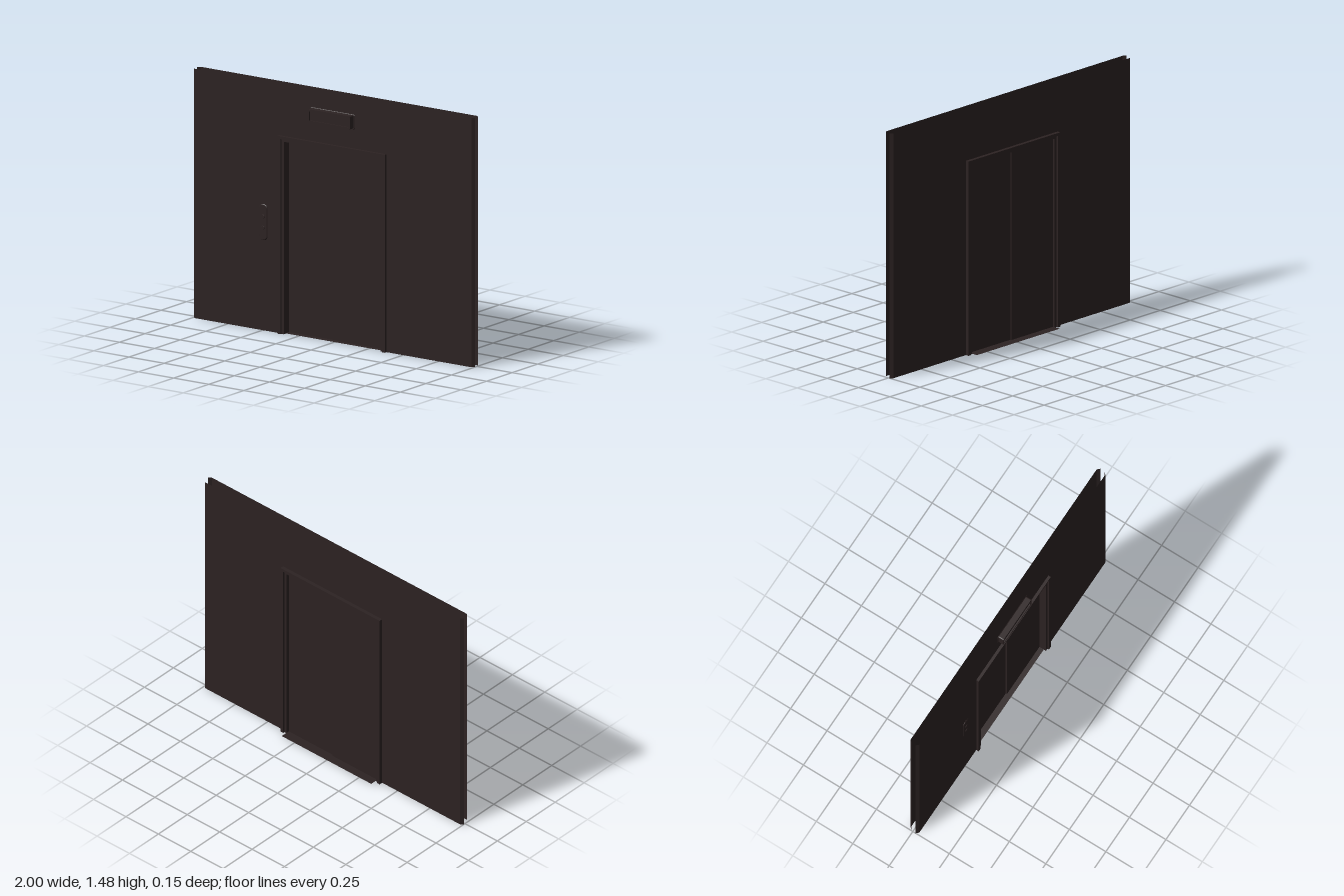
import * as THREE from 'three';

export function createModel() {
  const model = new THREE.Group();
  model.name = 'elevatorDoorway';
  const darkBronze = new THREE.MeshStandardMaterial({ color: 0x2c2222, side: THREE.DoubleSide });
  darkBronze.name = 'darkBronze';

  const add = (name, geometry, x = 0, y = 0, z = 0, parent = model) => {
    const mesh = new THREE.Mesh(geometry, darkBronze);
    mesh.name = name;
    mesh.position.set(x, y, z);
    parent.add(mesh);
    return mesh;
  };
  const polygon = (points) => new THREE.Shape(points.map(([x, y]) => new THREE.Vector2(x, y)));
  // Doorway outline: two legs and a top, open at the floor
  const arch = (w, h, innerW, innerH) => polygon([
    [-w, 0], [-innerW, 0], [-innerW, innerH], [innerW, innerH],
    [innerW, 0], [w, 0], [w, h], [-w, h],
  ]);
  const roundedRect = (w, h, r) => {
    const s = new THREE.Shape();
    const x = w / 2 - r, y = h / 2 - r;
    s.absarc(x, y, r, 0, Math.PI / 2);
    s.absarc(-x, y, r, Math.PI / 2, Math.PI);
    s.absarc(-x, -y, r, Math.PI, Math.PI * 1.5);
    s.absarc(x, -y, r, Math.PI * 1.5, Math.PI * 2);
    return s;
  };
  const extrude = (shape, depth, bevel = 0) => new THREE.ExtrudeGeometry(shape, {
    depth, bevelEnabled: bevel > 0, bevelSize: bevel, bevelThickness: bevel,
    bevelOffset: -bevel, bevelSegments: 1, curveSegments: 8,
  });

  // Two open wall skins with folded end edges
  const H = 1.48, END = 0.985;
  const makeWall = (name, z, turned) => {
    const wall = new THREE.Group();
    wall.name = name;
    add('wallSkin', new THREE.ShapeGeometry(arch(END, H, 0.36, 1.155)), 0, 0, 0, wall);
    for (const side of [-1, 1]) {
      const fold = new THREE.PlaneGeometry(Math.hypot(0.015, 0.015), H);
      const strip = add('wallEndFold', fold, side * (END + 0.0075), H / 2, -0.0075, wall);
      strip.rotation.y = side * Math.PI / 4;
    }
    wall.position.z = z;
    if (turned) wall.rotation.y = Math.PI;
    model.add(wall);
  };
  makeWall('frontWall', 0.035, false);
  makeWall('backWall', -0.024, true);

  // Stepped door frame running through both walls
  add('outerFrame', extrude(arch(0.382, 1.175, 0.362, 1.158), 0.098), 0, 0, -0.046);
  add('innerFrame', extrude(arch(0.363, 1.159, 0.345, 1.143), 0.078), 0, 0, -0.036);

  // Sliding leaves, one set slightly behind the other
  add('leftDoor', new THREE.BoxGeometry(0.345, 1.143, 0.014), 0.1725, 0.5715, -0.009);
  add('rightDoor', new THREE.BoxGeometry(0.345, 1.143, 0.014), -0.1725, 0.5715, -0.017);

  // Flat threshold plate
  const sill = add('sill', new THREE.PlaneGeometry(0.69, 0.105), 0, 0.003, -0.0245);
  sill.rotation.x = -Math.PI / 2;

  // Floor indicator above the door
  const indicator = new THREE.Group();
  indicator.name = 'floorIndicator';
  indicator.position.set(-0.003, 1.332, 0.03);
  model.add(indicator);
  add('indicatorBase', extrude(roundedRect(0.325, 0.09, 0.012), 0.004, 0.004), 0, 0, 0, indicator);
  const rim = roundedRect(0.3, 0.08, 0.008);
  rim.holes.push(polygon([[-0.14, -0.027], [-0.14, 0.027], [0.14, 0.027], [0.14, -0.027]]));
  add('indicatorRim', extrude(rim, 0.036), 0, 0, 0.006, indicator);
  add('indicatorScreen', new THREE.BoxGeometry(0.282, 0.056, 0.028), 0, 0, 0.02, indicator);

  // Call panel with two round buttons
  const panel = new THREE.Group();
  panel.name = 'callPanel';
  panel.position.set(-0.495, 0.643, 0.033);
  model.add(panel);
  add('panelPlate', extrude(roundedRect(0.06, 0.214, 0.028), 0.003, 0.004), 0, 0, 0, panel);
  for (const y of [-0.033, 0.033]) {
    const button = add('callButton', new THREE.CylinderGeometry(0.01, 0.012, 0.004, 20), 0, y, 0.009, panel);
    button.rotation.x = Math.PI / 2;
  }
  return model;
}
